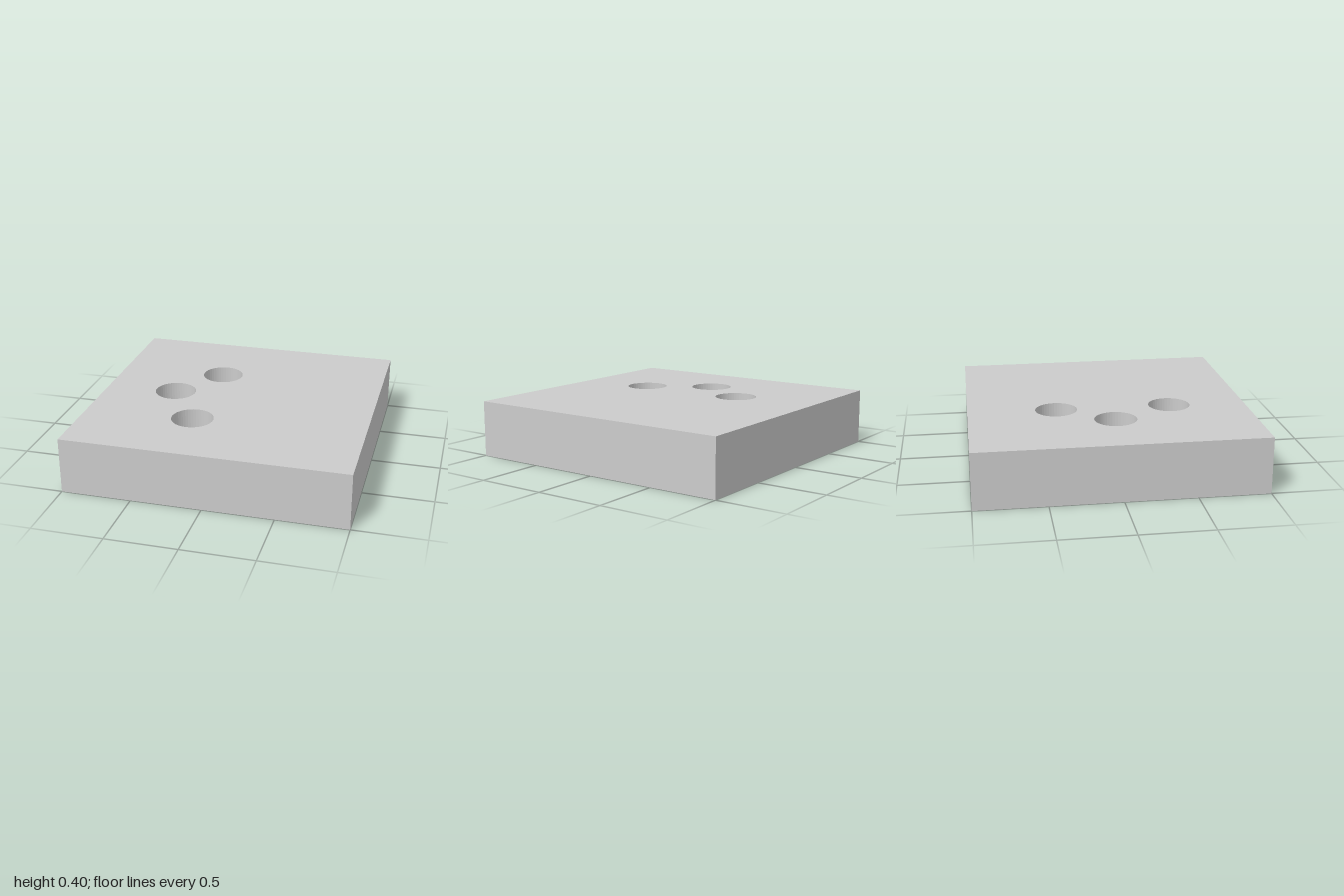
import * as THREE from 'three';

export function createModel() {
  const group = new THREE.Group();
  const material = new THREE.MeshStandardMaterial({ color: 0xcccccc });
  const size = 2, thickness = 0.4, holeRadius = 0.15;

  // Square outline of the plate
  const h = size / 2;
  const outline = new THREE.Shape([
    new THREE.Vector2(-h, -h),
    new THREE.Vector2(h, -h),
    new THREE.Vector2(h, h),
    new THREE.Vector2(-h, h),
  ]);

  // Three round through-holes, given as [x, z]
  for (const [x, z] of [[-0.22, -0.37], [-0.48, 0.02], [-0.22, 0.45]]) {
    outline.holes.push(new THREE.Path().absarc(x, -z, holeRadius, 0, Math.PI * 2, true));
  }

  // Extrude, then lay flat with the underside on y = 0
  const geometry = new THREE.ExtrudeGeometry(outline, {
    depth: thickness, bevelEnabled: false, curveSegments: 24,
  });
  geometry.rotateX(-Math.PI / 2);

  const plate = new THREE.Mesh(geometry, material);
  plate.name = 'drilledPlate';
  group.add(plate);
  return group;
}
